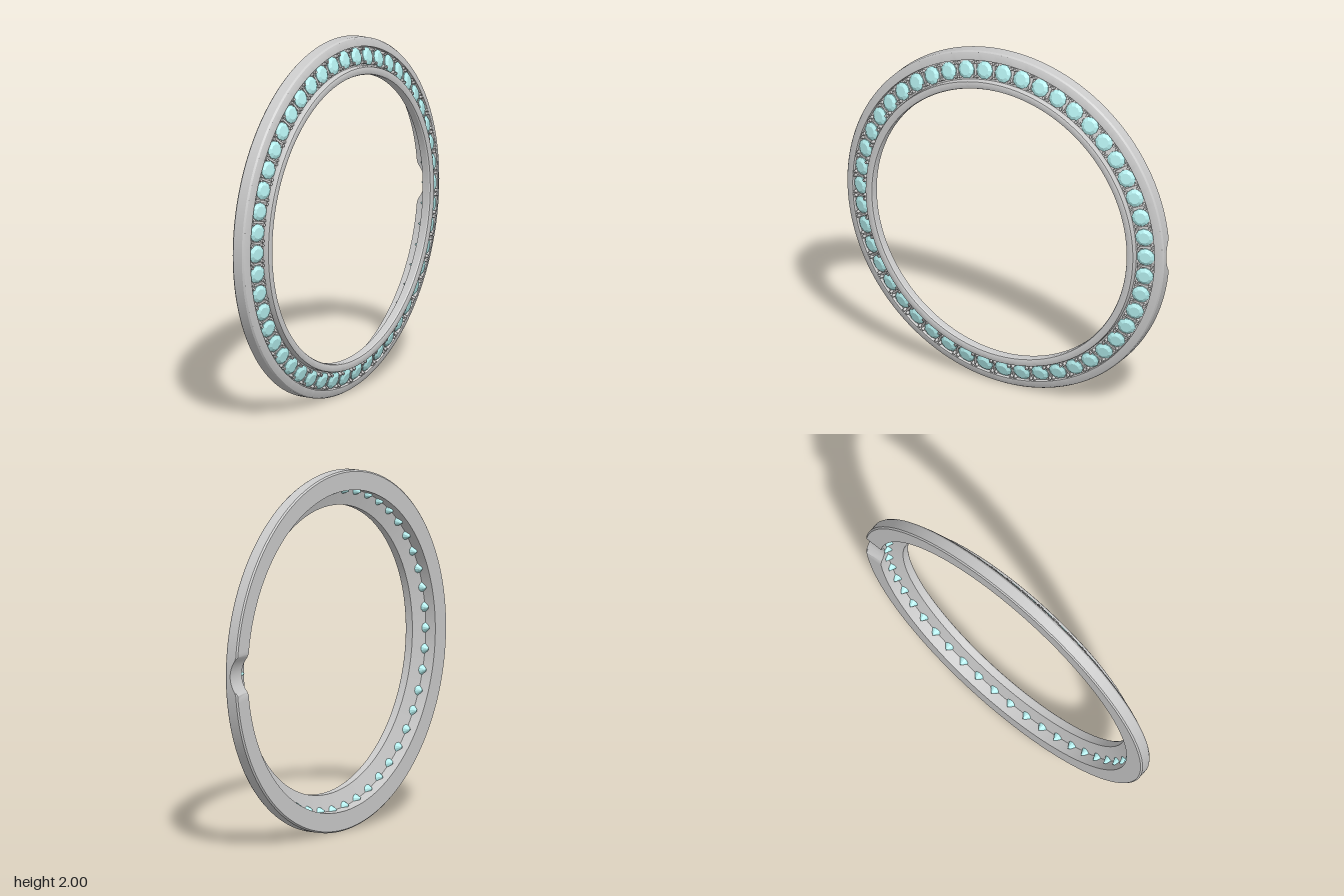
import * as THREE from 'three';
import { toCreasedNormals } from 'three/addons/utils/BufferGeometryUtils.js';

const GEMS = 48;
const TILT = Math.atan(1 / 3); // the gem channel leans outward
const BACK = -0.072;

const metal = new THREE.MeshStandardMaterial({ color: 0xcccccc });
const gemMaterial = new THREE.MeshStandardMaterial({ color: 0xb4eeee, flatShading: true });

// Revolved ring profile, given as radius and position along x
function ringGeometry() {
  const profile = [
    [0.89, BACK], [0.992, BACK], [1, BACK + 0.008], // back face, outer edge
    [1, -0.008], [0.994, 0.002], [0.96, 0.018], [0.952, 0.018], // outer land
    [0.948, 0.0], [0.846, 0.032], // gem channel
    [0.846, 0.058], [0.843, 0.065], [0.836, 0.068], // inner rim
    [0.812, 0.068], [0.804, 0.065], [0.8, 0.058],
    [0.8, 0.018], [0.89, -0.008], [0.89, BACK], // underside and recess wall
  ].map(([r, x]) => new THREE.Vector2(r, x));
  const g = new THREE.LatheGeometry(profile, 288);
  g.rotateZ(-Math.PI / 2);

  // Shallow round notch cut into the back edge at z = -1
  const half = 0.105, depth = 0.042;
  const R = (half * half + depth * depth) / (2 * depth);
  const p = g.attributes.position;
  for (let i = 0; i < p.count; i++) {
    const y = p.getY(i);
    if (p.getZ(i) < 0 && Math.abs(y) < half && p.getX(i) < -0.05) {
      const floor = BACK + Math.sqrt(R * R - y * y) - (R - depth);
      p.setX(i, Math.max(p.getX(i), floor));
    }
  }
  return toCreasedNormals(g, 0.5);
}

// Faceted stone: table and crown, thin girdle, pointed pavilion
function gemGeometry() {
  const pts = [[0, -0.066], [0.051, -0.004], [0.051, 0.002], [0.031, 0.014], [0, 0.014]];
  return new THREE.LatheGeometry(pts.map(([r, y]) => new THREE.Vector2(r, y)), 10);
}

export function createModel() {
  const model = new THREE.Group();
  model.name = 'gemSetRing';
  const assembly = new THREE.Group();
  assembly.name = 'ringAssembly';
  assembly.position.y = 1;
  model.add(assembly);

  const ring = new THREE.Mesh(ringGeometry(), metal);
  ring.name = 'ring';
  assembly.add(ring);

  const gemGeo = gemGeometry();
  const prongGeo = new THREE.CylinderGeometry(0.008, 0.01, 0.026, 8);
  const barGeo = new THREE.BoxGeometry(0.09, 0.01, 0.012);

  // Adds a part at a radius on the channel floor, standing along its normal
  const place = (parent, name, geo, mat, r, lift, z = 0) => {
    const m = new THREE.Mesh(geo, mat);
    m.name = name;
    const floor = (0.948 - r) * (0.032 / 0.102);
    m.position.set(floor + lift * Math.cos(TILT), r + lift * Math.sin(TILT), z);
    m.rotation.z = TILT - Math.PI / 2;
    parent.add(m);
  };

  for (let i = 0; i < GEMS; i++) {
    const seat = new THREE.Group();
    seat.name = 'gemSeat';
    seat.rotation.x = (i / GEMS) * Math.PI * 2;
    place(seat, 'gem', gemGeo, gemMaterial, 0.897, 0.006);
    assembly.add(seat);

    // Prongs and a low bar in the gap beside each gem
    const gap = new THREE.Group();
    gap.name = 'gemSetting';
    gap.rotation.x = ((i + 0.5) / GEMS) * Math.PI * 2;
    for (const r of [0.862, 0.934]) {
      for (const z of [-0.012, 0.012]) place(gap, 'prong', prongGeo, metal, r, 0.008, z);
    }
    place(gap, 'settingBar', barGeo, metal, 0.897, 0.002);
    assembly.add(gap);
  }
  return model;
}
